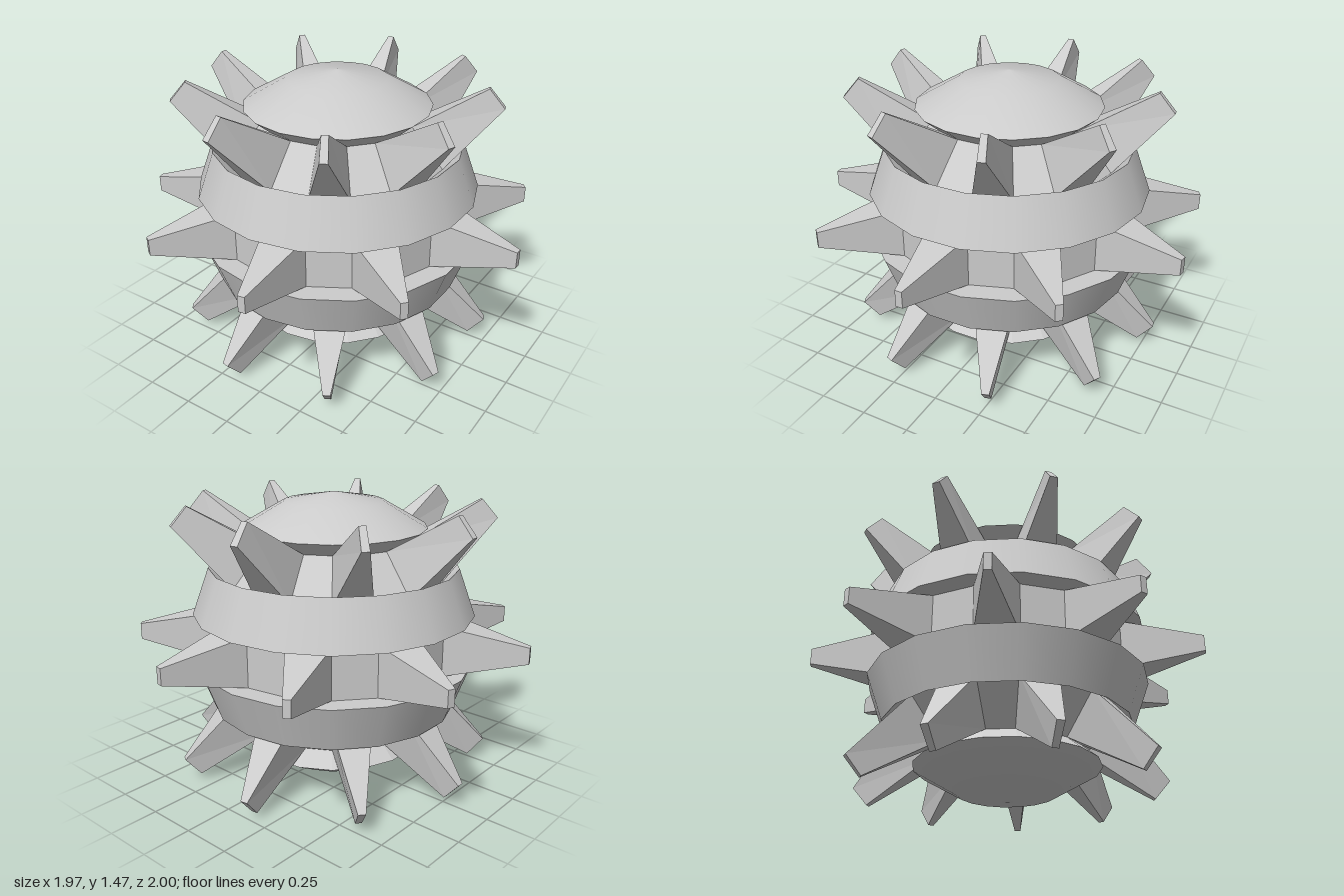
import * as THREE from 'three';

const R = 0.735;      // sphere radius, also the height of its centre
const SIDES = 18;
const INSET = 0.105;  // depth of the grooves
const RAD = Math.PI / 180;

// Point [radius, y] on the sphere outline, polar angle in degrees from the top
const onSphere = (deg) => [R * Math.sin(deg * RAD), R * Math.cos(deg * RAD)];

// The two floor corners (lower, upper) of the groove between polar angles a < b
function grooveFloor(a, b) {
  const m = ((a + b) / 2) * RAD;
  return [b, a].map((deg) => {
    const [r, y] = onSphere(deg);
    return [r - INSET * Math.sin(m), y - INSET * Math.cos(m)];
  });
}

function ring(name, profile, material) {
  const points = profile.map(([r, y]) => new THREE.Vector2(Math.max(r, 0), y));
  const mesh = new THREE.Mesh(new THREE.LatheGeometry(points, SIDES), material);
  mesh.name = name;
  return mesh;
}

// Tapered four-sided spike pointing along +x; base and tip are [lower, upper]
// corners given as [radius, y, half width]
function spikeGeometry(base, tip) {
  const corners = ([lo, hi]) => [
    [lo[0], lo[1], lo[2]], [lo[0], lo[1], -lo[2]],
    [hi[0], hi[1], -hi[2]], [hi[0], hi[1], hi[2]],
  ];
  const index = [4, 5, 6, 4, 6, 7];
  for (let i = 0; i < 4; i++) {
    const j = (i + 1) % 4;
    index.push(i, j, j + 4, i, j + 4, i + 4);
  }
  const geo = new THREE.BufferGeometry();
  const positions = [...corners(base), ...corners(tip)].flat();
  geo.setAttribute('position', new THREE.Float32BufferAttribute(positions, 3));
  geo.setIndex(index);
  geo.computeVertexNormals();
  return geo;
}

export function createModel() {
  const model = new THREE.Group();
  model.name = 'spikedBall';
  const body = new THREE.Group();
  body.name = 'body';
  body.position.set(-0.03, R, 0);
  model.add(body);

  const smooth = new THREE.MeshStandardMaterial({ color: 0xcccccc });
  const flat = new THREE.MeshStandardMaterial({ color: 0xcccccc, flatShading: true });

  // Domed caps and the two raised bands
  body.add(ring('topCap', [40, 20, 0].map(onSphere), smooth));
  body.add(ring('bottomCap', [180, 160, 140].map(onSphere), smooth));
  body.add(ring('upperBand', [80, 60].map(onSphere), smooth));
  body.add(ring('lowerBand', [120, 100].map(onSphere), smooth));

  // Grooves, each holding nine spikes that grow from every second floor facet
  const rows = [
    { name: 'upper', a: 40, b: 60, start: 180, tip: [[0.815, 0.607, 0.019], [0.735, 0.7, 0.016]] },
    { name: 'middle', a: 80, b: 100, start: 0, tip: [[1.012, -0.042, 0.018], [1.012, 0.042, 0.018]] },
    { name: 'lower', a: 120, b: 140, start: 180, tip: [[0.735, -0.7, 0.016], [0.815, -0.607, 0.019]] },
  ];
  for (const { name, a, b, start, tip } of rows) {
    const floor = grooveFloor(a, b);
    body.add(ring(name + 'Groove', [onSphere(b), ...floor, onSphere(a)], flat));

    const half = Math.PI / SIDES;
    const base = floor.map(([r, y]) => [r * Math.cos(half), y, r * Math.sin(half)]);
    const geo = spikeGeometry(base, tip);
    const spikes = new THREE.Group();
    spikes.name = name + 'Spikes';
    for (let i = 0; i < 9; i++) {
      const spike = new THREE.Mesh(geo, flat);
      spike.name = 'spike';
      spike.rotation.y = (start + i * 40) * RAD;
      spikes.add(spike);
    }
    body.add(spikes);
  }
  return model;
}
